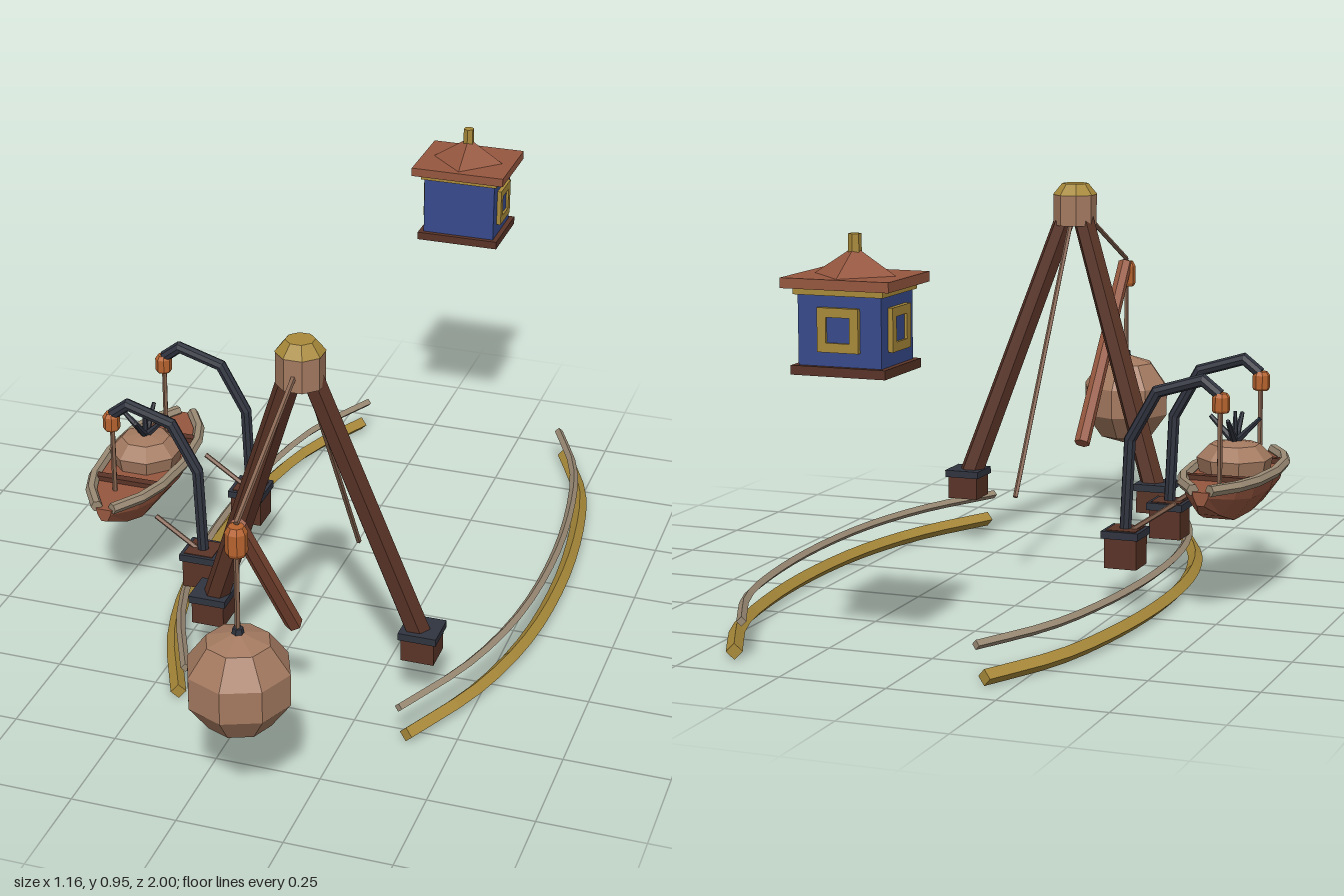
import * as THREE from 'three';

const mat = (name, color) => {
  const m = new THREE.MeshStandardMaterial({ color });
  m.name = name;
  return m;
};
const M = {
  darkWood: mat('darkWood', 0x5a3427),
  redWood: mat('redWood', 0x96573f),
  paleWood: mat('paleWood', 0xa47a60),
  rope: mat('rope', 0x866450),
  railGrey: mat('railGrey', 0x9a8a74),
  gold: mat('gold', 0xa98a3a),
  copper: mat('copper', 0xb8642f),
  iron: mat('iron', 0x30343f),
  blue: mat('blue', 0x374a8c),
};
const V = (x, y, z) => new THREE.Vector3(x, y, z);

// Faceted mesh
function add(parent, name, geo, material, x = 0, y = 0, z = 0) {
  const g = geo.index ? geo.toNonIndexed() : geo;
  g.computeVertexNormals();
  const mesh = new THREE.Mesh(g, material);
  mesh.name = name;
  mesh.position.set(x, y, z);
  parent.add(mesh);
  return mesh;
}
const box = (p, name, m, w, h, d, x, y, z) => add(p, name, new THREE.BoxGeometry(w, h, d), m, x, y, z);

// Straight bar from a to b
function bar(p, name, m, a, b, r0, r1 = r0, sides = 6) {
  const dir = b.clone().sub(a);
  const mesh = add(p, name, new THREE.CylinderGeometry(r1, r0, dir.length(), sides), m);
  mesh.position.copy(a).add(b).multiplyScalar(0.5);
  mesh.quaternion.setFromUnitVectors(V(0, 1, 0), dir.normalize());
  return mesh;
}
const rope = (p, name, a, b) => bar(p, name, M.rope, a, b, 0.0065, 0.0065, 5);

// Closed skin over a row of rings, with end caps
function loft(rings) {
  const n = rings[0].length, last = (rings.length - 1) * n, idx = [];
  for (let i = 0; i < rings.length - 1; i++)
    for (let j = 0; j < n; j++) {
      const k = (j + 1) % n, a = i * n + j, b = i * n + k;
      idx.push(a, a + n, b, b, a + n, b + n);
    }
  for (let k = 1; k < n - 1; k++) idx.push(0, k, k + 1, last, last + k + 1, last + k);
  const g = new THREE.BufferGeometry().setFromPoints(rings.flat());
  g.setIndex(idx);
  return g;
}

// Mitred tube along a path lying in the plane with the given normal
function sweep(points, normal, r, sides) {
  return loft(points.map((p, i) => {
    const a = points[Math.max(i - 1, 0)], b = points[Math.min(i + 1, points.length - 1)];
    const t0 = (i ? p.clone().sub(a) : b.clone().sub(p)).normalize();
    const t1 = (b === p ? p.clone().sub(a) : b.clone().sub(p)).normalize();
    const t = t0.clone().add(t1).normalize();
    const side = t.clone().cross(normal).multiplyScalar(1 / t.dot(t1));
    return Array.from({ length: sides }, (_, j) => {
      const q = (j / sides) * Math.PI * 2;
      return p.clone().addScaledVector(side, Math.cos(q) * r).addScaledVector(normal, Math.sin(q) * r);
    });
  }));
}

const group = (parent, name) => {
  const g = new THREE.Group();
  g.name = name;
  parent.add(g);
  return g;
};

// Wooden block with an iron collar
function footing(p, x, y, z, h) {
  box(p, 'footBlock', M.darkWood, 0.08, h, 0.08, x, y + h / 2, z);
  box(p, 'footCollar', M.iron, 0.092, 0.018, 0.092, x, y + h + 0.006, z);
}

// Pulley block, standing on y
function pulley(p, x, y, z, r, h) {
  const pts = [[0, 0], [r * 0.85, 0], [r, h * 0.12], [r, h * 0.8], [r * 0.7, h], [0, h]];
  add(p, 'pulley', new THREE.LatheGeometry(pts.map(q => new THREE.Vector2(...q)), 8), M.copper, x, y, z)
    .rotation.y = Math.PI / 8;
}

const CX = 0.108;

function buildRails(root) {
  const g = group(root, 'rails');
  const path = [[0.296, -0.91], [0.386, -0.71], [0.432, -0.48], [0.452, -0.2], [0.436, 0.08], [0.38, 0.32], [0.281, 0.545]];
  for (const s of [-1, 1])
    for (const [name, m, y, r, inset] of [['lowerRail', M.gold, 0.0185, 0.0185, 0], ['upperRail', M.railGrey, 0.088, 0.011, 0.019]]) {
      const curve = new THREE.CatmullRomCurve3(path.map(([x, z]) => V(CX + s * (x - inset), y, z)));
      add(g, name, sweep(curve.getSpacedPoints(18), V(0, 1, 0), r, 4), m);
    }
}

function buildCrane(root) {
  const g = group(root, 'crane');
  const hz = 0.465, bz = 0.88;
  // Legs and head
  for (const s of [-1, 1]) {
    footing(g, CX + s * 0.261, 0.12, 0.358, 0.06);
    bar(g, 'leg', M.darkWood, V(CX + s * 0.254, 0.18, 0.36), V(CX + s * 0.02, 0.87, 0.46), 0.031, 0.028)
      .rotateY(Math.PI / 6);
  }
  add(g, 'head', new THREE.CylinderGeometry(0.056, 0.056, 0.08, 8), M.paleWood, CX, 0.879, hz).rotation.y = Math.PI / 8;
  add(g, 'headCap', new THREE.CylinderGeometry(0.034, 0.058, 0.029, 8), M.gold, CX, 0.9325, hz).rotation.y = Math.PI / 8;
  // Stays and boom
  rope(g, 'backStay', V(CX, 0.86, 0.44), V(CX, 0.2, 0.033));
  rope(g, 'frontStay', V(CX, 0.88, 0.5), V(CX, 0.705, bz));
  bar(g, 'boom', M.redWood, V(CX, 0.25, 0.52), V(CX, 0.695, 0.87), 0.021, 0.019);
  // Hanging ball
  pulley(g, CX, 0.63, bz, 0.025, 0.069);
  rope(g, 'ballRope', V(CX, 0.43, bz), V(CX, 0.64, bz));
  bar(g, 'ballCollar', M.iron, V(CX, 0.435, bz), V(CX, 0.449, bz), 0.014, 0.012);
  add(g, 'ball', new THREE.SphereGeometry(0.126, 8, 5), M.paleWood, CX, 0.314, bz);
}

function buildDavit(root, z) {
  const g = group(root, 'davit');
  footing(g, -0.249, 0.1, z, 0.075);
  box(g, 'footTop', M.darkWood, 0.074, 0.008, 0.074, -0.249, 0.188, z);
  const arm = [[-0.249, 0.19], [-0.259, 0.405], [-0.325, 0.523], [-0.437, 0.557], [-0.478, 0.525]];
  add(g, 'davitArm', sweep(arm.map(([x, y]) => V(x, y, z)), V(0, 0, 1), 0.0145, 8), M.iron);
  pulley(g, -0.481, 0.483, z, 0.021, 0.046);
  rope(g, 'davitRope', V(-0.479, 0.31, z), V(-0.479, 0.49, z));
  rope(g, 'brace', V(-0.265, 0.188, z), V(-0.372, 0.26, z));
}

function buildBoat(root) {
  const g = group(root, 'boat');
  g.position.x = -0.467;
  // Hull stations: z, half width, keel height
  const stations = [[-0.275, 0.02, 0.282], [-0.2, 0.066, 0.246], [-0.125, 0.089, 0.222], [0, 0.1, 0.219],
    [0.125, 0.089, 0.222], [0.2, 0.066, 0.246], [0.275, 0.02, 0.282]];
  const top = 0.314;
  add(g, 'hull', loft(stations.map(([z, w, k]) => [[1, 0], [0.88, 0.4], [0.42, 1], [-0.42, 1], [-0.88, 0.4], [-1, 0]]
    .map(([x, d]) => V(x * w, top + (k - top) * d, z)))), M.redWood);
  // Gunwales along both sides
  for (const s of [-1, 1])
    add(g, 'gunwale', sweep(stations.map(([z, w]) => V(s * w, 0.318, z * 0.985)), V(0, 1, 0), 0.0142, 6), M.railGrey);
  // Thwarts
  for (const s of [-1, 1]) box(g, 'thwart', M.darkWood, 0.166, 0.014, 0.022, 0, 0.319, s * 0.13);
  // Canopy with spikes
  const dome = [[0.084, 0.31], [0.092, 0.348], [0.06, 0.38], [0, 0.39]].map(p => new THREE.Vector2(...p));
  add(g, 'canopy', new THREE.LatheGeometry(dome, 8), M.paleWood).rotation.y = Math.PI / 8;
  bar(g, 'spike', M.iron, V(0, 0.38, 0), V(0, 0.458, 0), 0.009, 0.004);
  for (let i = 0; i < 4; i++) {
    const a = i * Math.PI / 2;
    bar(g, 'spike', M.iron, V(0, 0.383, 0), V(Math.cos(a) * 0.062, 0.445, Math.sin(a) * 0.062), 0.01, 0.005);
  }
}

function buildCabin(root) {
  const g = group(root, 'cabin');
  g.position.set(CX, 0, -0.893);
  box(g, 'floor', M.darkWood, 0.217, 0.02, 0.187, 0, 0.667, 0);
  box(g, 'walls', M.blue, 0.191, 0.155, 0.162, 0, 0.7545, 0);
  box(g, 'cornice', M.gold, 0.206, 0.014, 0.178, 0, 0.834, 0);
  box(g, 'eaves', M.redWood, 0.248, 0.022, 0.214, 0, 0.852, 0);
  add(g, 'roof', new THREE.ConeGeometry(0.094, 0.06, 4), M.redWood, 0, 0.893, 0);
  bar(g, 'finial', M.gold, V(0, 0.9, 0), V(0, 0.95, 0), 0.015, 0.014);
  // Framed windows on the back and both sides
  const square = r => [[-r, -r], [r, -r], [r, r], [-r, r]].map(p => new THREE.Vector2(...p));
  const frame = new THREE.Shape(square(0.047));
  frame.holes.push(new THREE.Path(square(0.027).reverse()));
  for (const [angle, d] of [[Math.PI / 2, 0.0955], [-Math.PI / 2, 0.0955], [Math.PI, 0.081]]) {
    const w = group(g, 'window');
    w.rotation.y = angle;
    w.position.y = 0.755;
    add(w, 'windowFrame', new THREE.ExtrudeGeometry(frame, { depth: 0.012, bevelEnabled: false }), M.gold, 0, 0, d - 0.001);
    box(w, 'windowPane', M.blue, 0.054, 0.054, 0.006, 0, 0, d + 0.002);
  }
}

export function createModel() {
  const root = new THREE.Group();
  root.name = 'harbourSet';
  buildRails(root);
  buildCrane(root);
  for (const s of [-1, 1]) buildDavit(root, s * 0.17 + 0.004);
  buildBoat(root);
  buildCabin(root);
  return root;
}
